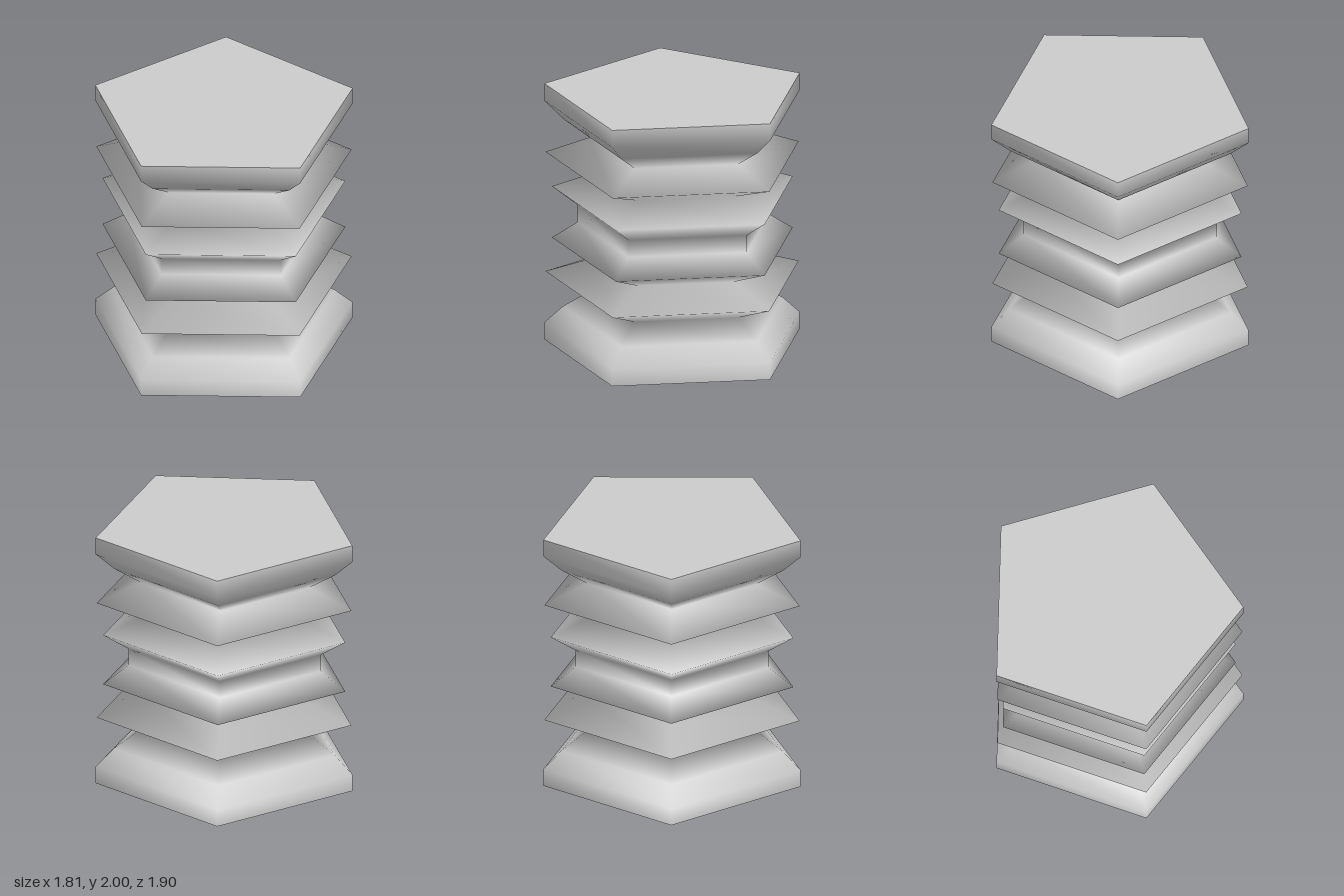
import * as THREE from 'three';

const SIDES = 5;
const STEP = 2 / 15; // height between rings
const CENTER_X = -0.095; // offset that centres the pentagon's bounds

export function createModel() {
  const group = new THREE.Group();
  group.name = 'pleatedColumn';
  const material = new THREE.MeshStandardMaterial({ color: 0xcccccc });

  const add = (name, geometry, y = 0) => {
    const mesh = new THREE.Mesh(geometry, material);
    mesh.name = name;
    mesh.position.set(CENTER_X, y, 0);
    group.add(mesh);
  };

  // Ring radii of the lower half, mirrored for the upper half
  const half = [1, 1, 0.86, 0.66, 0.992, 0.61, 0.943, 0.75];
  const radii = [...half, ...[...half].reverse()];
  const profile = radii.map((r, i) => new THREE.Vector2(r, i * STEP));

  // Five-sided smooth body, one corner pointing to +x
  add('pleatedBody', new THREE.LatheGeometry(profile, SIDES, Math.PI / 2));

  // Flat end caps
  add('topCap', new THREE.CircleGeometry(1, SIDES).rotateX(-Math.PI / 2), 2);
  add('bottomCap', new THREE.CircleGeometry(1, SIDES).rotateX(Math.PI / 2));

  return group;
}
